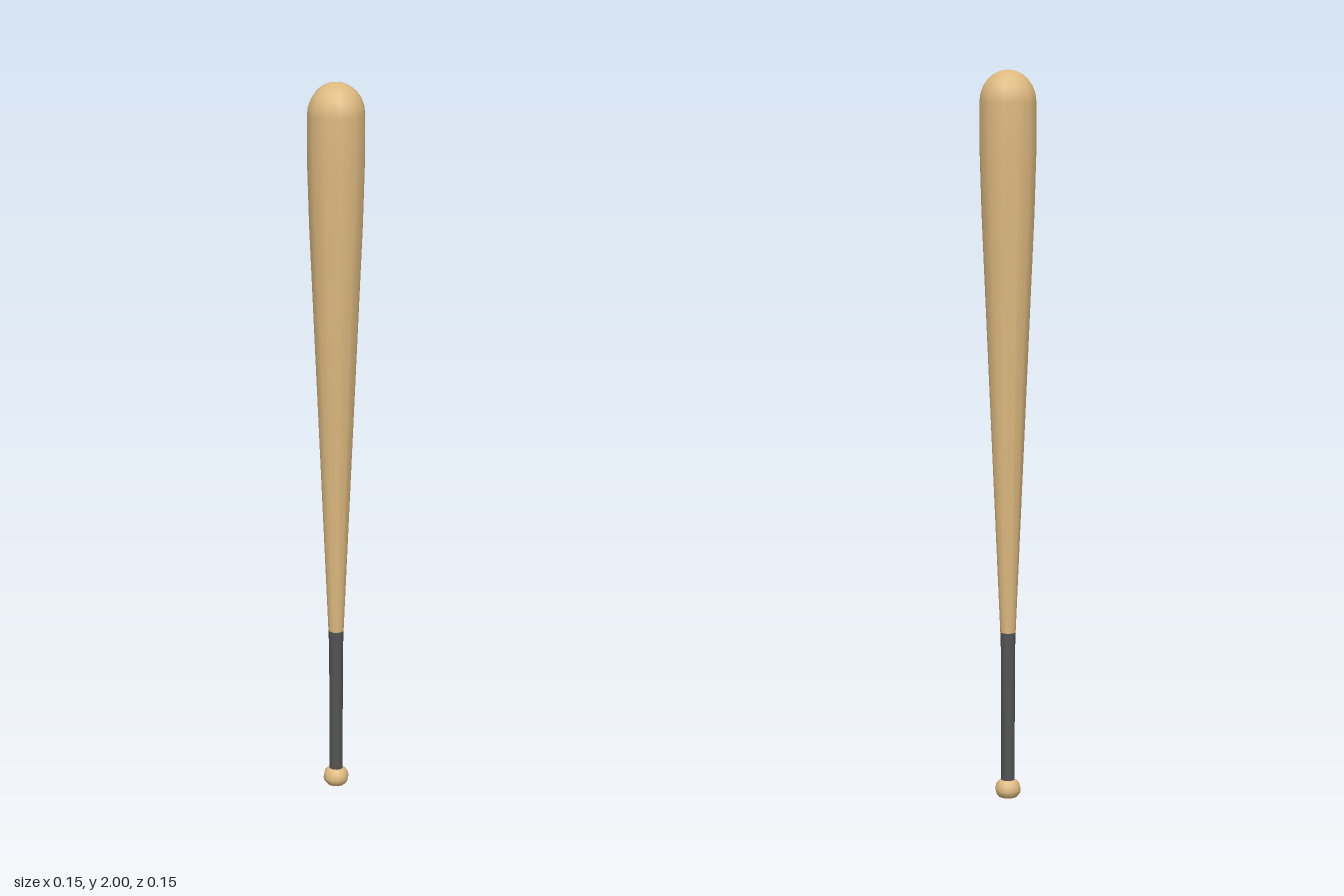
import * as THREE from 'three';

const wood = new THREE.MeshStandardMaterial({ color: 0xdeba80 });
wood.name = 'wood';
const gripTape = new THREE.MeshStandardMaterial({ color: 0x545454 });
gripTape.name = 'gripTape';

// Twelve-sided turned part from a profile of [radius, height] pairs, bottom to top
function turned(name, profile, material) {
  const points = profile.map(([r, y]) => new THREE.Vector2(r, y));
  const mesh = new THREE.Mesh(new THREE.LatheGeometry(points, 12), material);
  mesh.name = name;
  return mesh;
}

export function createModel() {
  const bat = new THREE.Group();
  bat.name = 'bat';

  // Flared knob at the end of the handle
  bat.add(turned('knob', [
    [0, 0], [0.026, 0.003], [0.034, 0.014], [0.036, 0.024],
    [0.033, 0.038], [0.026, 0.047], [0.019, 0.051],
  ], wood));

  // Wrapped handle
  bat.add(turned('grip', [[0.019, 0.05], [0.019, 0.16], [0.0195, 0.41], [0.0215, 0.47]], gripTape));

  // Long tapered barrel with a rounded end
  const barrel = [[0.0215, 0.47], [0.072, 1.62], [0.077, 1.79], [0.077, 1.915]];
  for (let i = 1; i <= 6; i++) {
    const a = (i / 6) * Math.PI / 2;
    barrel.push([i === 6 ? 0 : 0.077 * Math.cos(a), 1.915 + 0.085 * Math.sin(a)]);
  }
  bat.add(turned('barrel', barrel, wood));

  return bat;
}
